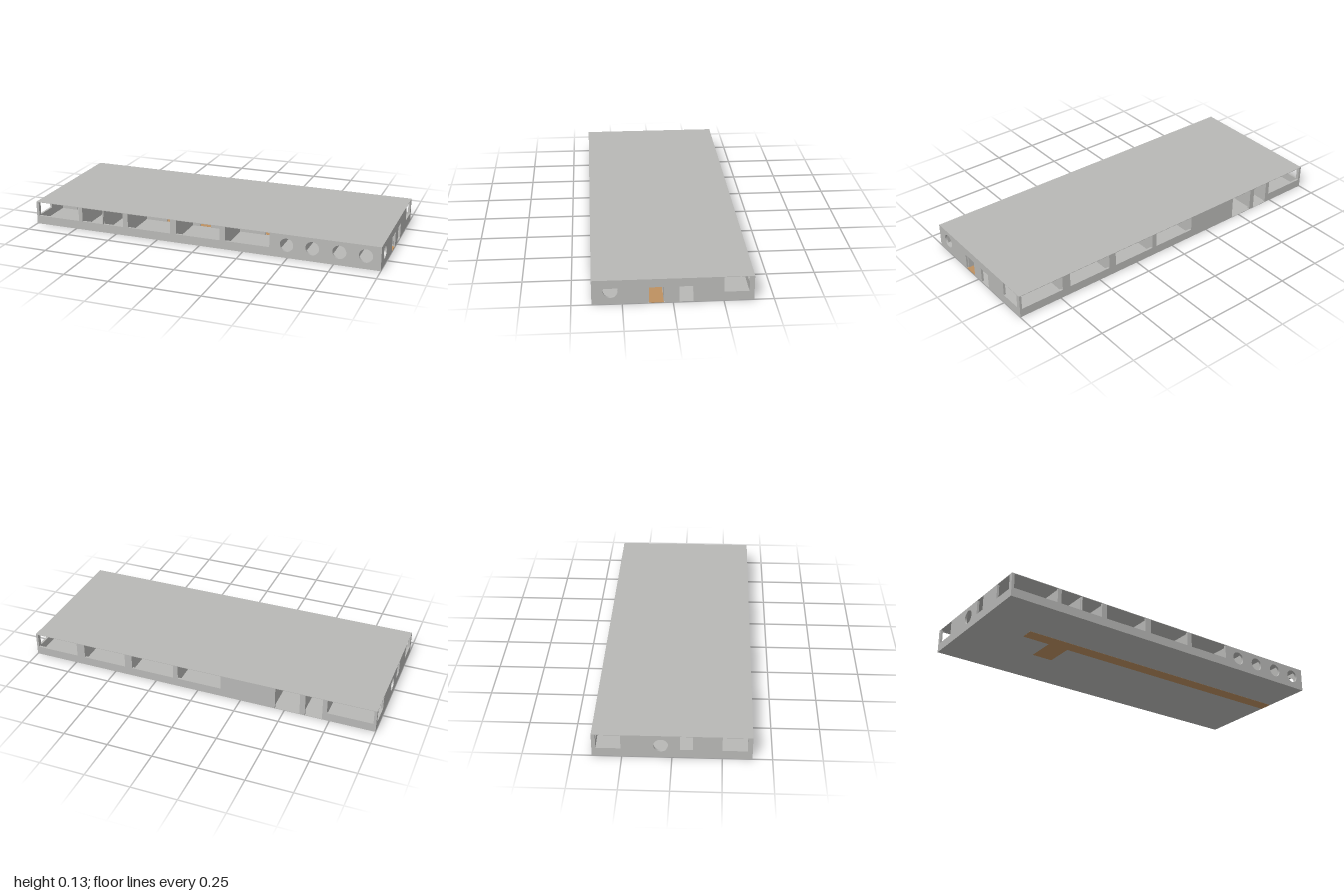
import * as THREE from 'three';

const WALL_TOP = 0.131, SILL = 0.049, HEAD = 0.1295, DOOR = 0.087, FLOOR = 0.003;

// Openings: [from, to, bottom, top], or a round one [centre, height, radius]
const windowHole = (a, b) => [a, b, SILL, HEAD];
const doorHole = (a, b, top = DOOR) => [a, b, FLOOR, top];
const porthole = (c) => [c, 0.073, 0.037];

export function createModel() {
  const model = new THREE.Group();
  model.name = 'building';
  const concrete = new THREE.MeshStandardMaterial({ color: 0xb8b8b6 });
  concrete.name = 'concrete grey';
  const tan = new THREE.MeshStandardMaterial({ color: 0xbd9060 });
  tan.name = 'corridor tan';

  function slab(name, x0, x1, y0, y1, z0, z1, material) {
    const mesh = new THREE.Mesh(new THREE.BoxGeometry(x1 - x0, y1 - y0, z1 - z0), material);
    mesh.position.set((x0 + x1) / 2, (y0 + y1) / 2, (z0 + z1) / 2);
    mesh.name = name;
    model.add(mesh);
  }

  // Upright wall panel with its openings cut out
  function panel(from, to, thickness, openings) {
    const shape = new THREE.Shape([
      new THREE.Vector2(from, 0.001), new THREE.Vector2(to, 0.001),
      new THREE.Vector2(to, WALL_TOP), new THREE.Vector2(from, WALL_TOP),
    ]);
    for (const o of openings) {
      const hole = new THREE.Path();
      if (o.length === 3) hole.absarc(o[0], o[1], o[2], 0, Math.PI * 2, true);
      else {
        const [a, b, low, high] = o;
        hole.moveTo(a, low).lineTo(a, high).lineTo(b, high).lineTo(b, low).closePath();
      }
      shape.holes.push(hole);
    }
    return new THREE.ExtrudeGeometry(shape, { depth: thickness, bevelEnabled: false, curveSegments: 24 });
  }

  // Wall running along x, centred on z
  function wallAlongX(name, x0, x1, z, thickness, openings = []) {
    const mesh = new THREE.Mesh(panel(x0, x1, thickness, openings), concrete);
    mesh.position.z = z - thickness / 2;
    mesh.name = name;
    model.add(mesh);
  }

  // Wall running along z, centred on x
  function wallAlongZ(name, x, z0, z1, thickness, openings = []) {
    const mesh = new THREE.Mesh(panel(z0, z1, thickness, openings), concrete);
    mesh.rotation.y = -Math.PI / 2;
    mesh.position.x = x + thickness / 2;
    mesh.name = name;
    model.add(mesh);
  }

  // Floor, roof and the coloured corridor with its side branch
  slab('floor', -1, 1, 0.0005, FLOOR, -0.4, 0.4, concrete);
  slab('roof', -1, 1, 0.13, 0.132, -0.4, 0.4, concrete);
  slab('corridorFloor', -0.72, 1, 0, 0.0036, 0.045, 0.12, tan);
  slab('corridorBranchFloor', -0.56, -0.44, 0, 0.0036, -0.12, 0.045, tan);

  // Outer walls
  const T = 0.012;
  wallAlongX('frontWall', -1, 1, 0.4 - T / 2, T, [
    windowHole(-0.985, -0.73), windowHole(-0.707, -0.582), windowHole(-0.578, -0.455),
    windowHole(-0.425, -0.17), windowHole(-0.135, 0.12), windowHole(0.15, 0.4),
    ...[0.495, 0.635, 0.78, 0.92].map(porthole),
  ]);
  wallAlongX('backWall', -1, 1, -0.4 + T / 2, T, [
    windowHole(-0.985, -0.735), doorHole(-0.71, -0.615, HEAD), doorHole(-0.585, -0.447, HEAD),
    windowHole(-0.135, 0.117), windowHole(0.145, 0.395), windowHole(0.438, 0.69), windowHole(0.738, 0.987),
  ]);
  wallAlongZ('leftSideWall', 1 - T / 2, -0.4, 0.4, T, [
    windowHole(-0.375, -0.25), doorHole(-0.1, -0.03), doorHole(0.04, 0.125), porthole(0.307),
  ]);
  wallAlongZ('rightSideWall', -1 + T / 2, -0.4, 0.4, T, [
    windowHole(-0.38, -0.255), porthole(-0.055), windowHole(0.04, 0.105), windowHole(0.25, 0.375),
  ]);

  // Corridor walls with aligned doors
  const t = 0.008;
  const sharedDoors = [[-0.1, -0.035], [0.29, 0.365], [0.6, 0.665], [0.88, 0.95]].map(([a, b]) => doorHole(a, b));
  wallAlongX('corridorFrontWall', -0.72, 0.99, 0.122, t, [
    doorHole(-0.67, -0.605), doorHole(-0.31, -0.235), doorHole(0.45, 0.54), doorHole(0.735, 0.825), ...sharedDoors,
  ]);
  wallAlongX('corridorBackWall', -0.72, 0.99, 0.042, t, [doorHole(-0.56, -0.44), ...sharedDoors]);
  wallAlongZ('endRoomWall', -0.72, -0.39, 0.39, t, [doorHole(-0.08, -0.02), doorHole(0.05, 0.083)]);

  // Partitions between the front rooms
  for (const x of [-0.58, -0.44, -0.152, 0.135, 0.425, 0.565, 0.71, 0.85]) {
    wallAlongZ('frontPartition', x, 0.126, 0.39, t);
  }

  // Partitions between the back rooms
  for (const x of [-0.152, 0.131, 0.417, 0.714]) {
    wallAlongZ('backPartition', x, -0.39, 0.04, t);
  }

  // Entrance hall on the back side
  wallAlongZ('hallPartition', -0.436, -0.39, 0.04, t);
  wallAlongZ('hallPartition', -0.6, -0.39, 0.04, t);
  wallAlongX('hallEndWall', -0.6, -0.436, -0.124, t, [doorHole(-0.54, -0.47)]);
  wallAlongX('endRoomDivider', -0.99, -0.72, 0.122, t, [doorHole(-0.89, -0.82)]);

  return model;
}
